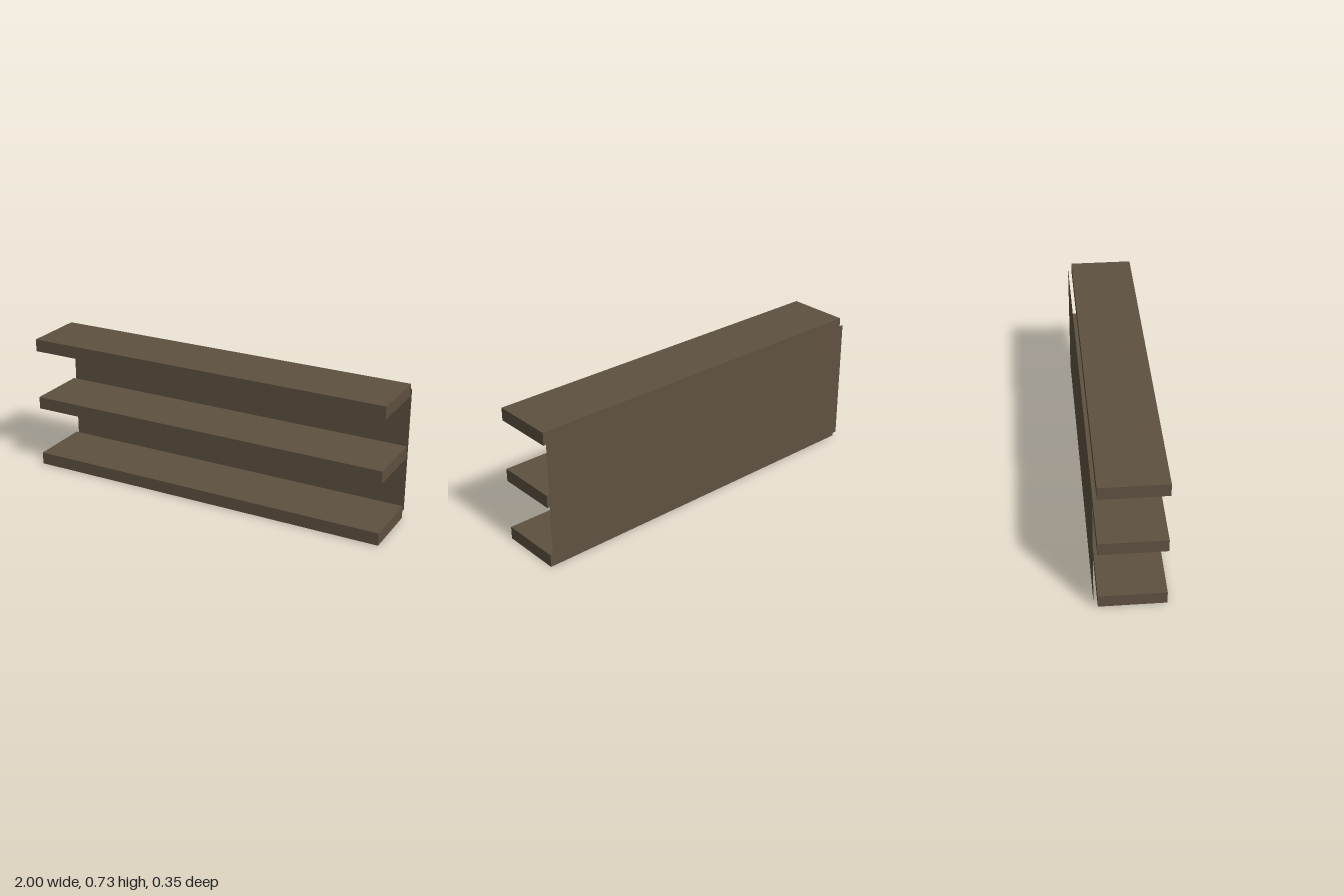
import * as THREE from 'three';

export function createModel() {
  const group = new THREE.Group();
  group.name = 'wallShelf';
  const color = 0x5e5140;
  const wood = new THREE.MeshStandardMaterial({ color });
  const sheet = new THREE.MeshStandardMaterial({ color, side: THREE.DoubleSide });

  const width = 2, thickness = 0.067, depth = 0.333, spacing = 0.3335;

  // Three identical boards, evenly stacked
  const boardGeometry = new THREE.BoxGeometry(width, thickness, depth);
  ['bottomShelf', 'middleShelf', 'topShelf'].forEach((name, i) => {
    const shelf = new THREE.Mesh(boardGeometry, wood);
    shelf.name = name;
    shelf.position.set(0, thickness / 2 + i * spacing, 0.01);
    group.add(shelf);
  });

  // Thin back panel just behind the boards, from bottom to top board centre
  const panel = new THREE.Mesh(new THREE.PlaneGeometry(width, 2 * spacing), sheet);
  panel.name = 'backPanel';
  panel.position.set(0, thickness / 2 + spacing, -0.177);
  panel.rotation.y = Math.PI;
  group.add(panel);

  return group;
}
